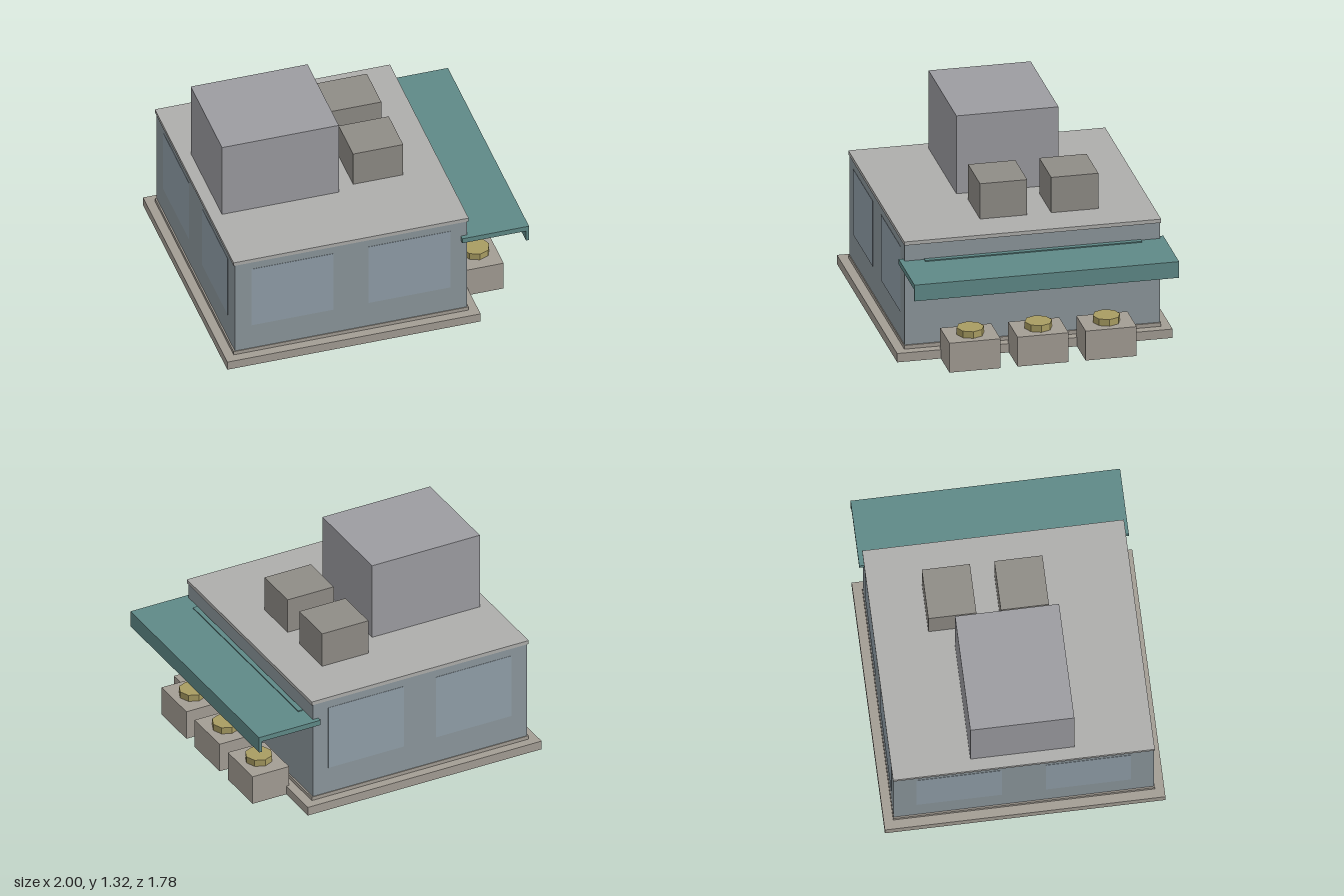
import * as THREE from 'three';

const mat = (color) => new THREE.MeshStandardMaterial({ color, flatShading: true });

export function createModel() {
  const model = new THREE.Group();
  model.name = 'shop';

  const stone = mat(0xa39d94);
  const wall = mat(0x8c979c);
  const glass = mat(0x919fa9);
  const roofing = mat(0xadadab);
  const tank = mat(0x9c9ca1);
  const vent = mat(0x8f8c86);
  const canvas = mat(0x5f8987);
  const brass = mat(0xa89c62);

  // Box given by its minimum and maximum on each axis
  const box = (name, material, [x0, x1], [y0, y1], [z0, z1]) => {
    const mesh = new THREE.Mesh(new THREE.BoxGeometry(x1 - x0, y1 - y0, z1 - z0), material);
    mesh.position.set((x0 + x1) / 2, (y0 + y1) / 2, (z0 + z1) / 2);
    mesh.name = name;
    model.add(mesh);
    return mesh;
  };

  // Building
  box('base', stone, [-1, 0.67], [0, 0.06], [-0.89, 0.89]);
  box('plinth', stone, [-0.94, 0.61], [0.06, 0.085], [-0.83, 0.83]);
  box('walls', wall, [-0.93, 0.6], [0.085, 0.765], [-0.825, 0.825]);
  box('roof', roofing, [-0.94, 0.61], [0.765, 0.79], [-0.83, 0.83]);

  // Windows, nearly flush with the front, back and right walls
  const sill = [0.265, 0.71];
  for (const x of [-0.82, -0.05]) {
    box('frontWindow', glass, [x, x + 0.54], sill, [0.815, 0.827]);
    box('backWindow', glass, [x, x + 0.54], sill, [-0.827, -0.815]);
  }
  for (const z of [-0.41, 0.41]) {
    box('sideWindow', glass, [-0.932, -0.92], sill, [z - 0.27, z + 0.27]);
  }

  // Rooftop units
  box('roofTank', tank, [-0.86, -0.09], [0.79, 1.32], [-0.33, 0.33]);
  box('backRoofVent', vent, [0.02, 0.35], [0.79, 1.03], [-0.485, -0.18]);
  box('frontRoofVent', vent, [0.02, 0.35], [0.79, 1.03], [-0.025, 0.28]);

  // Awning with its wall rail and hanging edge
  box('awning', canvas, [0.56, 1], [0.62, 0.655], [-0.855, 0.855]);
  box('awningEdge', canvas, [0.98, 1], [0.545, 0.62], [-0.855, 0.855]);
  box('awningRail', canvas, [0.605, 0.637], [0.535, 0.662], [-0.7, 0.7]);

  // Crates, each topped with an eight-sided lid
  for (const z of [-0.437, 0.003, 0.443]) {
    box('crate', stone, [0.65, 0.91], [0, 0.2], [z - 0.165, z + 0.165]);
    const lid = new THREE.Mesh(new THREE.CylinderGeometry(0.088, 0.088, 0.045, 8), brass);
    lid.position.set(0.778, 0.2225, z);
    lid.name = 'crateLid';
    model.add(lid);
  }

  return model;
}
